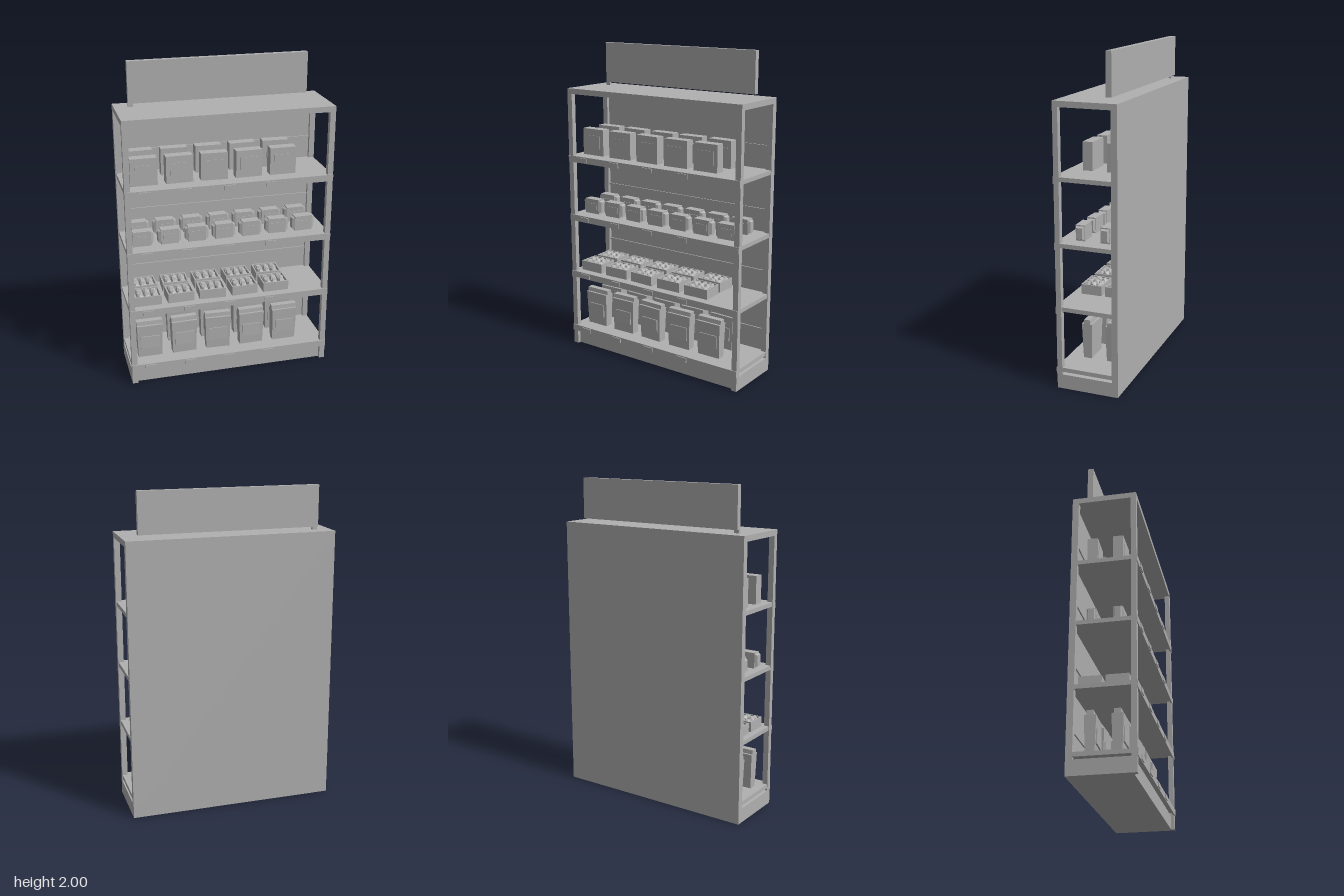
import * as THREE from 'three';

const grey = new THREE.MeshStandardMaterial({ color: 0xb0b0b0 });
grey.name = 'plain grey';

function addMesh(parent, name, geometry, x = 0, y = 0, z = 0) {
  const mesh = new THREE.Mesh(geometry, grey);
  mesh.name = name;
  mesh.position.set(x, y, z);
  parent.add(mesh);
  return mesh;
}

// Box given by its lower and upper limits on each axis
function span(parent, name, x0, x1, y0, y1, z0, z1) {
  return addMesh(parent, name, new THREE.BoxGeometry(x1 - x0, y1 - y0, z1 - z0),
    (x0 + x1) / 2, (y0 + y1) / 2, (z0 + z1) / 2);
}

// Four-sided block standing on y = 0 whose top differs in size from its base
function taper(w0, d0, w1, d1, h) {
  const geo = new THREE.BoxGeometry(1, h, 1);
  const p = geo.attributes.position;
  for (let i = 0; i < p.count; i++) {
    const top = p.getY(i) > 0;
    p.setX(i, p.getX(i) * (top ? w1 : w0));
    p.setZ(i, p.getZ(i) * (top ? d1 : d0));
  }
  geo.translate(0, h / 2, 0);
  geo.computeVertexNormals();
  return geo;
}

// Upright carton with a thin front panel
function carton() {
  const g = new THREE.Group();
  addMesh(g, 'cartonBody', taper(0.165, 0.062, 0.165, 0.062, 0.17));
  addMesh(g, 'cartonPanel', new THREE.BoxGeometry(0.11, 0.085, 0.004), 0, 0.085, 0.032);
  return g;
}

// Small packet with tapered ends
function packet() {
  const g = new THREE.Group();
  addMesh(g, 'packetBody', new THREE.BoxGeometry(0.112, 0.095, 0.056), 0, 0.0475, 0);
  for (const s of [-1, 1]) {
    const end = addMesh(g, 'packetEnd', taper(0.08, 0.05, 0.066, 0.036, 0.016), s * 0.056, 0.0475, 0);
    end.rotation.z = -s * Math.PI / 2;
  }
  addMesh(g, 'packetPanel', new THREE.BoxGeometry(0.08, 0.04, 0.004), 0, 0.047, 0.029);
  return g;
}

// Open tray filled with rounded lumps
function tray() {
  const g = new THREE.Group();
  const w = 0.168, d = 0.132, t = 0.008, h = 0.062;
  span(g, 'trayBase', -w / 2, w / 2, 0, 0.035, -d / 2, d / 2);
  for (const s of [-1, 1]) {
    addMesh(g, 'traySide', new THREE.BoxGeometry(t, h, d), s * (w - t) / 2, h / 2, 0);
    addMesh(g, 'trayEnd', new THREE.BoxGeometry(w - 2 * t, h, t), 0, h / 2, s * (d - t) / 2);
  }
  const lump = new THREE.IcosahedronGeometry(0.026, 0);
  for (let i = 0; i < 3; i++) {
    for (let j = 0; j < 3; j++) {
      const m = addMesh(g, 'lump', lump, (i - 1) * 0.046, j === 1 ? 0.052 : 0.046, (j - 1) * 0.036);
      m.rotation.y = i * 1.3 + j * 2.1;
    }
  }
  return g;
}

// Filled bag with a folded top and a front label
function bag() {
  const g = new THREE.Group();
  addMesh(g, 'bagBody', taper(0.153, 0.052, 0.166, 0.068, 0.222));
  addMesh(g, 'bagFold', taper(0.166, 0.042, 0.166, 0.038, 0.028), 0, 0.221, 0);
  addMesh(g, 'bagLabel', new THREE.BoxGeometry(0.122, 0.085, 0.009), 0, 0.105, 0.0325);
  return g;
}

// Two rows of one product along a shelf, each turned very slightly
function stock(parent, name, make, count, firstX, step, y, rows) {
  const group = new THREE.Group();
  group.name = name;
  rows.forEach((z, r) => {
    for (let i = 0; i < count; i++) {
      const item = make();
      item.name = name + 'Item';
      item.position.set(firstX + i * step, y, z);
      item.rotation.y = 0.04 * Math.sin(i * 2.3 + r * 1.7);
      group.add(item);
    }
  });
  parent.add(group);
}

export function createModel() {
  const model = new THREE.Group();
  model.name = 'shelfDisplay';
  const W = 0.645;

  // Frame
  span(model, 'backPanel', -W, W, 0, 1.727, -0.2, -0.182);
  span(model, 'topBoard', -W, W, 1.692, 1.727, -0.2, 0.187);
  span(model, 'plinth', -W, W, 0, 0.09, -0.2, 0.165);
  for (const s of [-1, 1]) {
    const x = s * (W - 0.0175);
    span(model, 'frontPost', x - 0.0175, x + 0.0175, 0, 1.7, 0.155, 0.187);
    span(model, 'backPost', x - 0.0175, x + 0.0175, 0, 1.7, -0.19, -0.162);
  }

  // Shelves with front lips, price tags and back rails
  for (const y of [0.132, 0.516, 0.905, 1.296]) {
    span(model, 'shelf', -0.642, 0.642, y - 0.026, y, -0.185, 0.184);
    span(model, 'shelfLip', -W, W, y - 0.041, y, 0.18, 0.192);
    for (const x of [-0.525, -0.27, -0.01, 0.25]) {
      span(model, 'priceTag', x - 0.035, x + 0.035, y - 0.036, y - 0.007, 0.191, 0.198);
    }
    span(model, 'backRail', -0.61, 0.61, y + 0.131, y + 0.145, -0.183, -0.174);
  }

  // Header sign on its short foot
  span(model, 'headerSign', -0.56, 0.557, 1.747, 2, -0.132, -0.098);
  span(model, 'signFoot', -0.56, -0.53, 1.72, 1.75, -0.115, -0.098);

  // Products from the top shelf down
  stock(model, 'cartons', carton, 5, -0.513, 0.2155, 1.296, [0.069, -0.087]);
  stock(model, 'packets', packet, 7, -0.537, 0.172, 0.905, [0.07, -0.087]);
  stock(model, 'trays', tray, 5, -0.518, 0.207, 0.516, [0.071, -0.087]);
  stock(model, 'bags', bag, 5, -0.51, 0.2235, 0.132, [0.07, -0.085]);

  return model;
}
